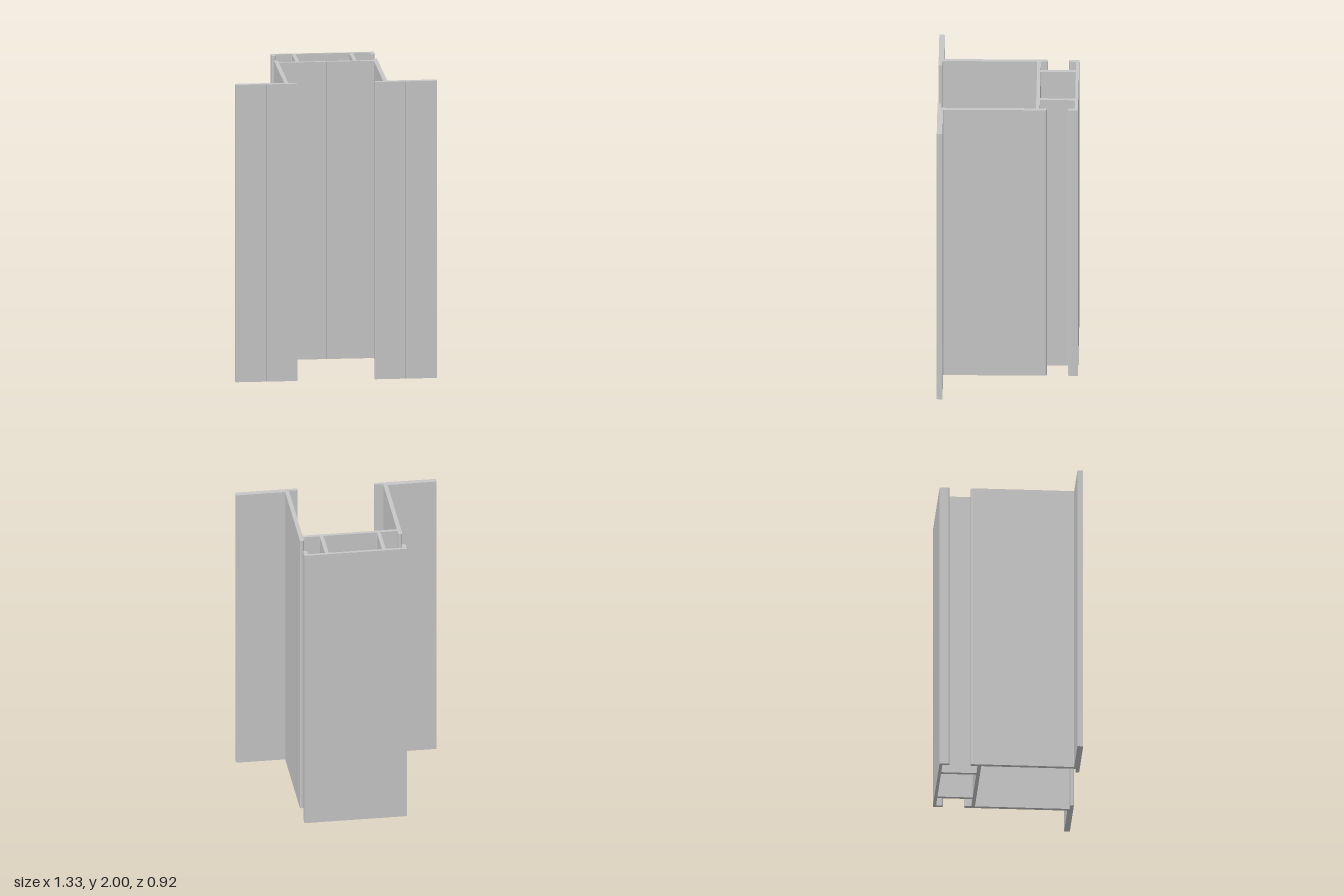
import * as THREE from 'three';

const HEIGHT = 2;

// Closed path through [x, z, cornerRadius] points; z is flipped for the extrusion plane.
function roundedPath(path, points) {
  const n = points.length;
  const at = (i) => new THREE.Vector2(points[(i + n) % n][0], -points[(i + n) % n][1]);
  for (let i = 0; i < n; i++) {
    const p = at(i), r = points[i][2] || 0;
    const a = p.clone().add(at(i - 1).sub(p).setLength(r));
    const b = p.clone().add(at(i + 1).sub(p).setLength(r));
    if (i === 0) path.moveTo(a.x, a.y); else path.lineTo(a.x, a.y);
    if (r > 0) path.quadraticCurveTo(p.x, p.y, b.x, b.y);
  }
  path.closePath();
  return path;
}

export function createModel() {
  const aluminium = new THREE.MeshStandardMaterial({ color: 0xc6c6c6 });
  aluminium.name = 'aluminium';

  // Left half of the section, from the centre groove round to the back plate
  const half = [
    [0.004, -0.186], [0.313, -0.186],
    // leg, inner foot, grooved flange
    [0.313, 0.438], [0.255, 0.438, 0.004], [0.255, 0.462, 0.004],
    [0.457, 0.462], [0.46, 0.458], [0.463, 0.462],
    [0.665, 0.462], [0.665, 0.424], [0.34, 0.424, 0.003],
    // rounded front lip of the side channel
    [0.34, -0.257, 0.0125], [0.313, -0.257, 0.0125], [0.313, -0.21],
    // box wall and channel bottom
    [0.202, -0.21, 0.004], [0.202, -0.442, 0.004], [0.313, -0.442, 0.004],
    // rounded back lip and back plate
    [0.313, -0.396, 0.0125], [0.34, -0.396, 0.0125], [0.34, -0.462],
  ];
  const mirrored = half.map(([x, z, r]) => [-x, z, r]).reverse();
  const section = roundedPath(new THREE.Shape(), [...half, ...mirrored, [0, -0.191]]);

  // Hollow chamber between the two box walls
  section.holes.push(roundedPath(new THREE.Path(), [
    [-0.177, -0.442, 0.005], [0.177, -0.442, 0.005],
    [0.177, -0.21, 0.005], [-0.177, -0.21, 0.005],
  ]));

  const extrusion = new THREE.ExtrudeGeometry(section, {
    depth: HEIGHT, bevelEnabled: false, curveSegments: 5,
  });
  extrusion.rotateX(-Math.PI / 2);

  const profile = new THREE.Mesh(extrusion, aluminium);
  profile.name = 'extrudedProfile';

  const model = new THREE.Group();
  model.name = 'framingProfile';
  model.add(profile);
  return model;
}
